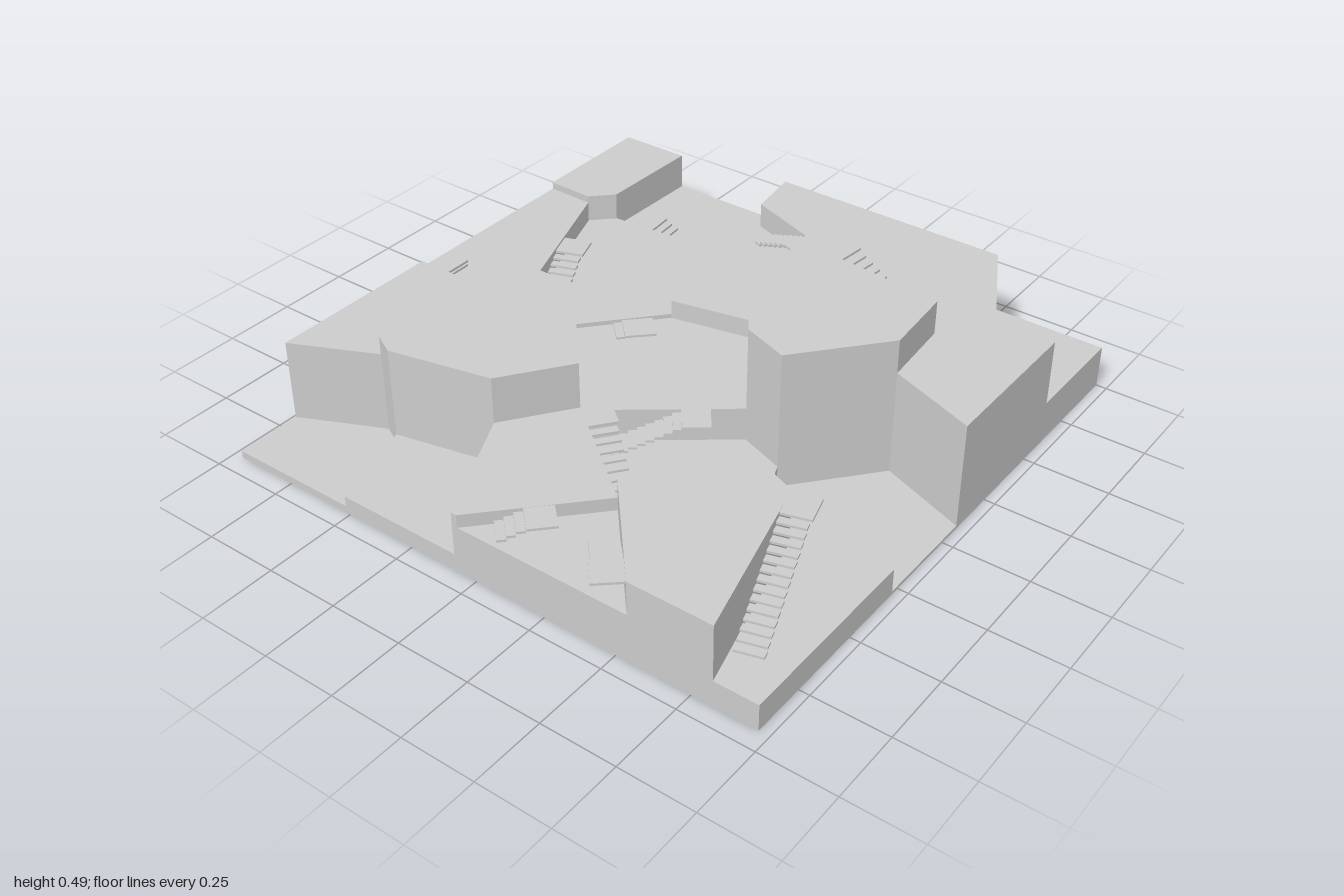
import * as THREE from 'three';

const material = new THREE.MeshStandardMaterial({ color: 0xcccccc, flatShading: true });

// Height of each plateau, followed by its outline as [x, z] corners.
const W = 0.965, B = -1, F = 0.935;
const plateaus = {
  backRightCorner: [0.31, [-W, B], [-0.72, B], [-0.73, -0.63], [-0.8, -0.56], [-W, -0.565]],
  backRight: [0.185, [-0.72, B], [-0.27, B], [-0.245, -0.815], [-0.4, -0.655], [-0.73, -0.63]],
  innerRight: [0.215, [-0.8, -0.56], [-0.73, -0.63], [-0.4, -0.655], [-0.2, -0.245], [-0.41, -0.01], [-0.6, -0.005]],
  rightEdge: [0.285, [-W, -0.565], [-0.8, -0.56], [-0.6, -0.005], [-0.73, 0.1], [-W, 0.1]],
  rightFrontEdge: [0.305, [-W, 0.1], [-0.73, 0.1], [-0.685, 0.58], [-W, 0.71]],
  frontRightCorner: [0.025, [-W, 0.71], [-0.685, 0.58], [-0.61, 0.62], [-0.515, F], [-W, F]],
  frontRight: [0.06, [-0.61, 0.62], [-0.265, 0.545], [-0.08, F], [-0.515, F]],
  highRight: [0.37, [-0.73, 0.1], [-0.6, -0.005], [-0.41, -0.01], [-0.11, 0.33], [-0.265, 0.545], [-0.61, 0.62], [-0.685, 0.58]],
  centre: [0.2, [-0.41, -0.01], [-0.2, -0.245], [0.065, -0.3], [0.285, 0.025], [-0.11, 0.33]],
  innerFront: [0.085, [0.285, 0.025], [0.44, 0.08], [0.525, 0.3], [0.25, 0.605], [-0.11, 0.33]],
  frontCentre: [0.21, [-0.265, 0.545], [-0.11, 0.33], [0.25, 0.605], [-0.06, F], [-0.08, F]],
  frontWedge: [0.165, [0.25, 0.605], [0.54, F], [-0.06, F]],
  frontLeft: [0.28, [0.25, 0.605], [0.525, 0.3], [0.67, 0.36], [0.82, F], [0.54, F]],
  frontLeftCorner: [0.09, [0.67, 0.36], [W, 0.28], [W, F], [0.82, F]],
  leftEdge: [0.01, [0.44, 0.08], [0.67, -0.19], [W, -0.08], [W, 0.28], [0.67, 0.36], [0.525, 0.3]],
  summit: [0.485, [0.065, -0.3], [0.16, -0.49], [0.65, -0.44], [0.67, -0.19], [0.44, 0.08], [0.285, 0.025]],
  leftBackEdge: [0.37, [0.65, -0.44], [0.77, -0.61], [W, -0.615], [W, -0.08], [0.67, -0.19]],
  backCentre: [0.35, [-0.27, B], [0.565, B], [0.77, -0.61], [0.65, -0.44], [0.16, -0.49], [0.13, -0.68], [-0.245, -0.815]],
  innerBack: [0.265, [-0.4, -0.655], [-0.245, -0.815], [0.13, -0.68], [0.16, -0.49], [0.065, -0.3], [-0.2, -0.245]],
  backLeftCorner: [0.145, [0.565, B], [W, B], [W, -0.615], [0.77, -0.61]],
};

// Stairs along a cliff: upper and lower plateau, top and bottom point on the
// cliff line, side of the descent they stand on (1 = left), step count, landing length.
const stairs = [
  ['frontLeft', 'frontLeftCorner', [0.67, 0.365], [0.8, 0.82], 1, 14, 0.1],
  ['frontLeft', 'frontWedge', [0.54, 0.935], [0.33, 0.7], 1, 8, 0.1],
  ['frontCentre', 'innerFront', [-0.11, 0.33], [0.15, 0.53], 1, 8, 0.1],
  ['centre', 'innerFront', [0.2, 0.09], [-0.04, 0.275], 1, 8, 0.09],
  ['summit', 'backCentre', [0.2, -0.485], [0.54, -0.45], 1, 9, 0.09],
  ['backCentre', 'innerBack', [0.09, -0.695], [-0.16, -0.785], 1, 6, 0.1],
  ['innerBack', 'innerRight', [-0.27, -0.39], [-0.355, -0.565], -1, 4, 0.09],
  ['innerRight', 'centre', [-0.235, -0.19], [-0.325, -0.1], 1, 1, 0.1],
  ['rightEdge', 'innerRight', [-0.71, -0.325], [-0.635, -0.115], 1, 5, 0.09],
  ['innerRight', 'backRight', [-0.66, -0.635], [-0.53, -0.645], 1, 2, 0.08],
  ['rightFrontEdge', 'rightEdge', [-0.93, 0.1], [-0.845, 0.1], 1, 1, 0.08],
  ['highRight', 'rightFrontEdge', [-0.7, 0.44], [-0.72, 0.225], -1, 5, 0.09],
  ['frontRight', 'frontRightCorner', [-0.53, 0.885], [-0.575, 0.74], -1, 3, 0.09],
  ['frontCentre', 'frontWedge', [0.13, 0.735], [0.01, 0.86], 1, 3, 0.09],
];

function prism(name, height, outline) {
  const shape = new THREE.Shape(outline.map(([x, z]) => new THREE.Vector2(x, -z)));
  const geometry = new THREE.ExtrudeGeometry(shape, { depth: height, bevelEnabled: false });
  const mesh = new THREE.Mesh(geometry.rotateX(-Math.PI / 2), material);
  mesh.name = name;
  return mesh;
}

// Local x runs downhill along the cliff; local z points away from it.
function staircase([upper, lower, top, bottom, side, count, landing]) {
  const group = new THREE.Group();
  group.name = 'stairs';
  const high = plateaus[upper][0], low = plateaus[lower][0];
  const dx = bottom[0] - top[0], dz = bottom[1] - top[1];
  const length = Math.hypot(dx, dz);
  const thickness = 0.008;
  const slab = (name, x0, x1, y, width) => {
    const mesh = new THREE.Mesh(new THREE.BoxGeometry(x1 - x0, thickness, width), material);
    mesh.position.set((x0 + x1) / 2, y - thickness / 2, -side * width / 2);
    mesh.name = name;
    group.add(mesh);
  };
  slab('landing', 0, landing, high, 0.095);
  const tread = (length - landing) / count;
  for (let i = 0; i < count; i++) {
    const x = landing + i * tread;
    slab('step', x, x + tread, high - (high - low) * (i + 1) / (count + 1), 0.088);
  }
  group.position.set(top[0], 0, top[1]);
  group.rotation.y = -Math.atan2(dz, dx);
  return group;
}

export function createModel() {
  const model = new THREE.Group();
  model.name = 'terracedTerrain';
  for (const [name, [height, ...outline]] of Object.entries(plateaus)) {
    model.add(prism(name + 'Plateau', height, outline));
  }
  for (const flight of stairs) model.add(staircase(flight));
  return model;
}
